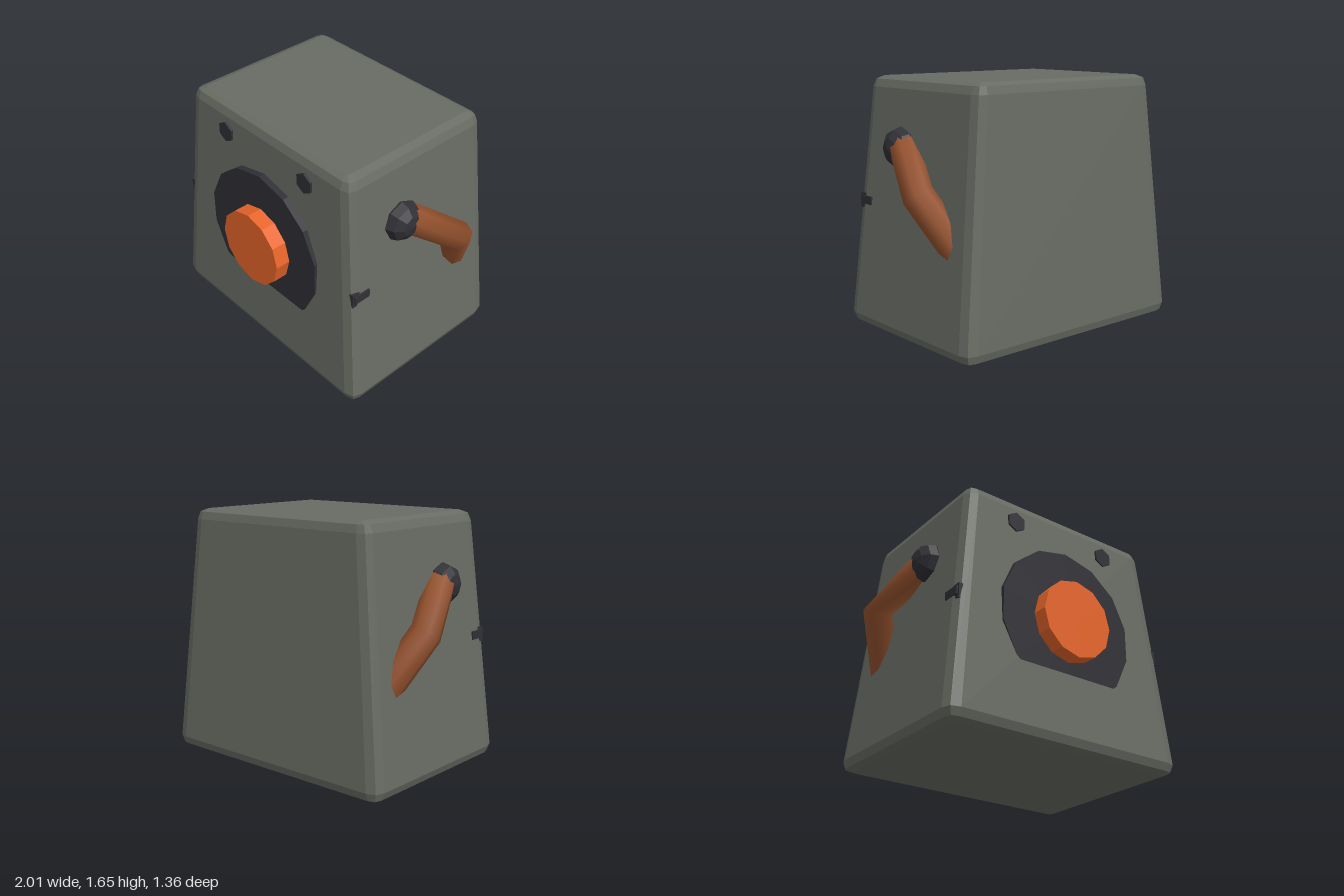
import * as THREE from 'three';

const mat = (color, flatShading = true) => new THREE.MeshStandardMaterial({ color, flatShading });

// Tapered cabinet lofted through rounded-rectangle sections: [y, half width, front z, back z, corner]
function cabinetGeometry() {
  const levels = [
    [0, 0.82, 0.53, -0.62, 0.03],
    [0.02, 0.865, 0.58, -0.665, 0.06],
    [0.07, 0.885, 0.6, -0.68, 0.08],
    [1.58, 0.73, 0.52, -0.605, 0.07],
    [1.63, 0.71, 0.5, -0.59, 0.05],
    [1.65, 0.66, 0.46, -0.55, 0.02],
  ];
  const pos = [], idx = [], n = 12;
  for (const [y, hx, zf, zb, c] of levels) {
    const corner = [[0, c], [0.24 * c, 0.24 * c], [c, 0]];
    const add = (sx, z, sz, pts) => pts.forEach(([dx, dz]) => pos.push(sx * (hx - dx), y, z - sz * dz));
    const back = [...corner].reverse();
    add(1, zf, 1, corner);
    add(-1, zf, 1, back);
    add(-1, zb, -1, corner);
    add(1, zb, -1, back);
  }
  for (let i = 0; i < levels.length - 1; i++) {
    for (let j = 0; j < n; j++) {
      const a = i * n + j, b = i * n + (j + 1) % n;
      idx.push(a, a + n, b, b, a + n, b + n);
    }
  }
  const top = (levels.length - 1) * n;
  for (let j = 1; j < n - 1; j++) {
    idx.push(0, j, j + 1);
    idx.push(top, top + j + 1, top + j);
  }
  const g = new THREE.BufferGeometry();
  g.setAttribute('position', new THREE.Float32BufferAttribute(pos, 3));
  g.setIndex(idx);
  g.computeVertexNormals();
  return g;
}

export function createModel() {
  const model = new THREE.Group();
  const grey = mat(0x686c63), dark = mat(0x303036), orange = mat(0xe8652a);
  const brown = mat(0x95522e, false);

  const add = (name, geometry, material, x = 0, y = 0, z = 0) => {
    const m = new THREE.Mesh(geometry, material);
    m.name = name;
    m.position.set(x, y, z);
    model.add(m);
    return m;
  };
  // Prism facing +z with a corner at the top, running from z0 to z1
  const disc = (name, r, sides, material, x, y, z0, z1) => {
    const g = new THREE.CylinderGeometry(r, r, z1 - z0, sides);
    g.rotateX(Math.PI / 2);
    if (sides % 4 === 0 || sides % 2 === 0) g.rotateZ(Math.PI);
    return add(name, g, material, x, y, (z0 + z1) / 2);
  };

  add('cabinet', cabinetGeometry(), grey);

  // Upright front plate sinks into the sloping face; round button in its middle
  disc('frontPlate', 0.515, 14, dark, 0, 0.83, 0.45, 0.578);
  disc('frontButton', 0.265, 12, orange, 0, 0.83, 0.5, 0.68);

  for (const s of [1, -1]) {
    const side = s > 0 ? 'left' : 'right';
    disc(side + 'Stud', 0.07, 6, dark, s * 0.37, 1.475, 0.46, 0.54);

    // Faceted ball where the handle leaves the side
    const ball = new THREE.SphereGeometry(0.135, 8, 6);
    ball.rotateZ(Math.PI / 2);
    ball.scale(0.78, 1, 1);
    add(side + 'Ball', ball, dark, s * 0.77, 1.215, 0.118);

    // Bent handle running back into the cabinet
    const path = new THREE.CatmullRomCurve3([
      new THREE.Vector3(s * 0.77, 1.22, 0.08),
      new THREE.Vector3(s * 0.91, 0.98, -0.25),
      new THREE.Vector3(s * 0.73, 0.62, -0.42),
    ], false, 'catmullrom', 0.1);
    add(side + 'Handle', new THREE.TubeGeometry(path, 2, 0.1, 8), brown);

    // Small clip showing through the front corner
    add(side + 'ClipBar', new THREE.BoxGeometry(0.06, 0.055, 0.12), dark, s * 0.785, 0.838, 0.47);
    add(side + 'ClipHead', new THREE.BoxGeometry(0.04, 0.1, 0.055), dark, s * 0.785, 0.832, 0.515);
  }
  return model;
}
